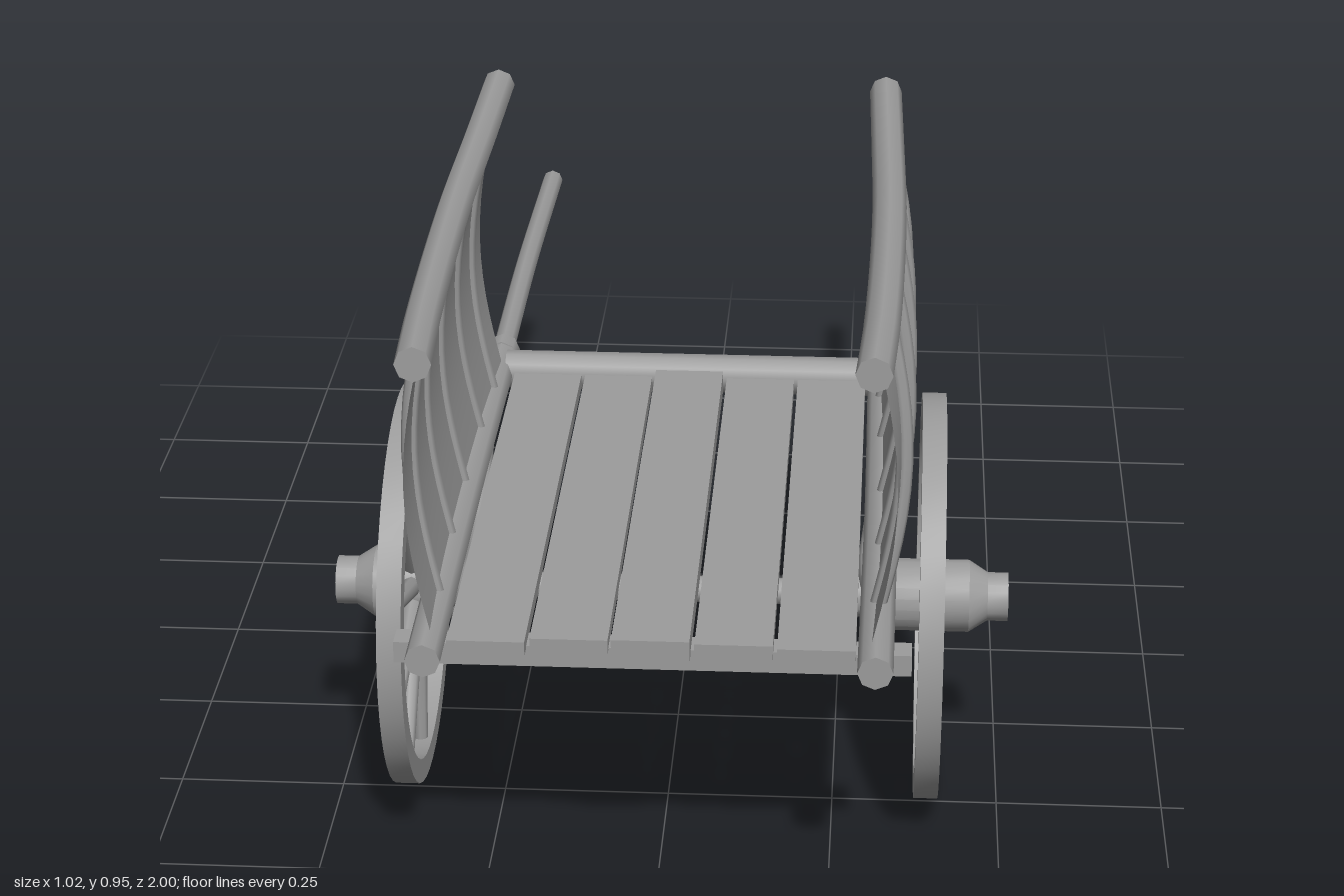
import * as THREE from 'three';
import { toCreasedNormals } from 'three/addons/utils/BufferGeometryUtils.js';

const AXLE_Y = 0.307, AXLE_Z = 0.41;

export function createModel() {
  const cart = new THREE.Group();
  cart.name = 'handCart';
  const wood = new THREE.MeshStandardMaterial({ color: 0x9c9c9c, side: THREE.DoubleSide });
  wood.name = 'greyWood';

  const add = (name, geometry, parent = cart) => {
    const mesh = new THREE.Mesh(geometry, wood);
    mesh.name = name;
    parent.add(mesh);
    return mesh;
  };

  // Round pole along a smooth path, with flat end caps
  const pole = (name, points, radius, sides = 8, steps = 14, parent = cart) => {
    const curve = new THREE.CatmullRomCurve3(points.map(p => new THREE.Vector3(...p)));
    const group = new THREE.Group();
    group.name = name;
    parent.add(group);
    add(name + 'Body', new THREE.TubeGeometry(curve, steps, radius, sides), group);
    for (const t of [0, 1]) {
      const cap = add(name + 'End', new THREE.CircleGeometry(radius, sides), group);
      const end = curve.getPoint(t);
      cap.position.copy(end);
      cap.lookAt(end.clone().addScaledVector(curve.getTangent(t), t ? 1 : -1));
    }
    return group;
  };

  // Bulging side wall: x offset at height y and length z
  const wallX = (y, z) => {
    const v = (y - 0.45) / 0.47, u = (z - AXLE_Z) / 0.47;
    return 0.302 + 0.035 * Math.sin(Math.PI * Math.min(Math.max(v, 0), 1)) + 0.01 * (1 - u * u);
  };

  // Floor boards, the middle one slightly thicker
  const fronts = [0.88, 0.868, 0.885, 0.872, 0.88];
  fronts.forEach((front, i) => {
    const thick = i === 2 ? 0.034 : 0.022;
    const length = front + 0.07;
    add('floorBoard', new THREE.BoxGeometry(0.109, thick, length))
      .position.set((i - 2) * 0.115, i === 2 ? 0.447 : 0.443, front - length / 2);
  });

  // Cross beams and axle
  add('frontCrossBeam', new THREE.BoxGeometry(0.725, 0.032, 0.04)).position.set(0, 0.42, 0.835);
  pole('rearCrossBeam', [[-0.3, 0.449, -0.085], [0.3, 0.449, -0.085]], 0.031, 10, 1);
  pole('axle', [[-0.29, AXLE_Y, AXLE_Z], [0.29, AXLE_Y, AXLE_Z]], 0.02, 12, 1);

  // Hub profile: radius, distance from the cart centre
  const hubProfile = [
    [0, 0.278], [0.036, 0.278], [0.036, 0.292], [0.055, 0.33], [0.055, 0.45],
    [0.037, 0.478], [0.037, 0.509], [0.02, 0.509], [0.02, 0.49], [0, 0.49],
  ].map(p => new THREE.Vector2(...p));
  const hubGeometry = toCreasedNormals(new THREE.LatheGeometry(hubProfile, 20), 0.5);

  const rim = new THREE.Shape().absarc(0, 0, 0.306, 0, Math.PI * 2);
  rim.holes.push(new THREE.Path().absarc(0, 0, 0.27, 0, Math.PI * 2, true));
  const rimGeometry = toCreasedNormals(
    new THREE.ExtrudeGeometry(rim, { depth: 0.036, bevelEnabled: false, curveSegments: 24 })
      .translate(0, 0, -0.018).rotateY(Math.PI / 2), 0.5);

  for (const s of [1, -1]) {
    const side = s > 0 ? 'left' : 'right';

    // Wheel with hub, rim and ten spokes
    const wheel = new THREE.Group();
    wheel.name = side + 'Wheel';
    wheel.position.set(0, AXLE_Y, AXLE_Z);
    cart.add(wheel);
    add('hub', hubGeometry, wheel).rotation.z = -s * Math.PI / 2;
    add('rim', rimGeometry, wheel).position.x = s * 0.391;
    for (let i = 0; i < 10; i++) {
      const spoke = add('spoke', new THREE.CylinderGeometry(0.011, 0.015, 0.235, 8)
        .translate(0, 0.16, 0), wheel);
      spoke.position.x = s * 0.391;
      spoke.rotation.x = i * Math.PI / 5;
    }

    // Side frame pole, collar and thin pulling handle
    pole(side + 'FramePole', [[s * 0.312, 0.447, 0.93], [s * 0.315, 0.446, 0.4],
      [s * 0.313, 0.45, -0.13]], 0.025);
    pole(side + 'Collar', [[s * 0.314, 0.45, -0.13], [s * 0.314, 0.45, -0.165]], 0.027, 8, 1);
    pole(side + 'Handle', [[s * 0.314, 0.45, -0.15], [s * 0.315, 0.446, -0.55],
      [s * 0.31, 0.438, -1]], 0.018);

    // Curved brace carrying the axle
    pole(side + 'AxleBrace', [[s * 0.318, 0.425, 0.73], [s * 0.308, 0.38, 0.57], [s * 0.298, 0.355, AXLE_Z],
      [s * 0.308, 0.38, 0.25], [s * 0.318, 0.425, 0.08]], 0.016);

    // Top rail
    pole(side + 'TopRail', [[s * 0.302, 0.922, 1], [s * 0.311, 0.917, 0.8], [s * 0.317, 0.915, 0.4],
      [s * 0.312, 0.918, 0.1], [s * 0.307, 0.926, -0.12]], 0.025);

    // Thin bowed side wall
    const wall = new THREE.PlaneGeometry(0.945, 0.47, 16, 14);
    const pos = wall.attributes.position;
    for (let i = 0; i < pos.count; i++) {
      const z = 0.408 - s * pos.getX(i), y = 0.685 + pos.getY(i);
      pos.setXYZ(i, s * wallX(y, z), y, z);
    }
    wall.computeVertexNormals();
    add(side + 'Wall', wall);

    // Five battens following the wall outside
    [[0.752, 0.735], [0.566, 0.563], [0.385, 0.385], [0.188, 0.208], [0.034, 0.04]].forEach(([z0, z1]) => {
      const path = [];
      for (let k = 0; k <= 6; k++) {
        const t = k / 6, y = 0.45 + 0.46 * t, z = z0 + (z1 - z0) * t;
        path.push([s * (wallX(y, z) + 0.004), y, z]);
      }
      pole(side + 'Batten', path, 0.012, 8, 12);
    });
  }
  return cart;
}
